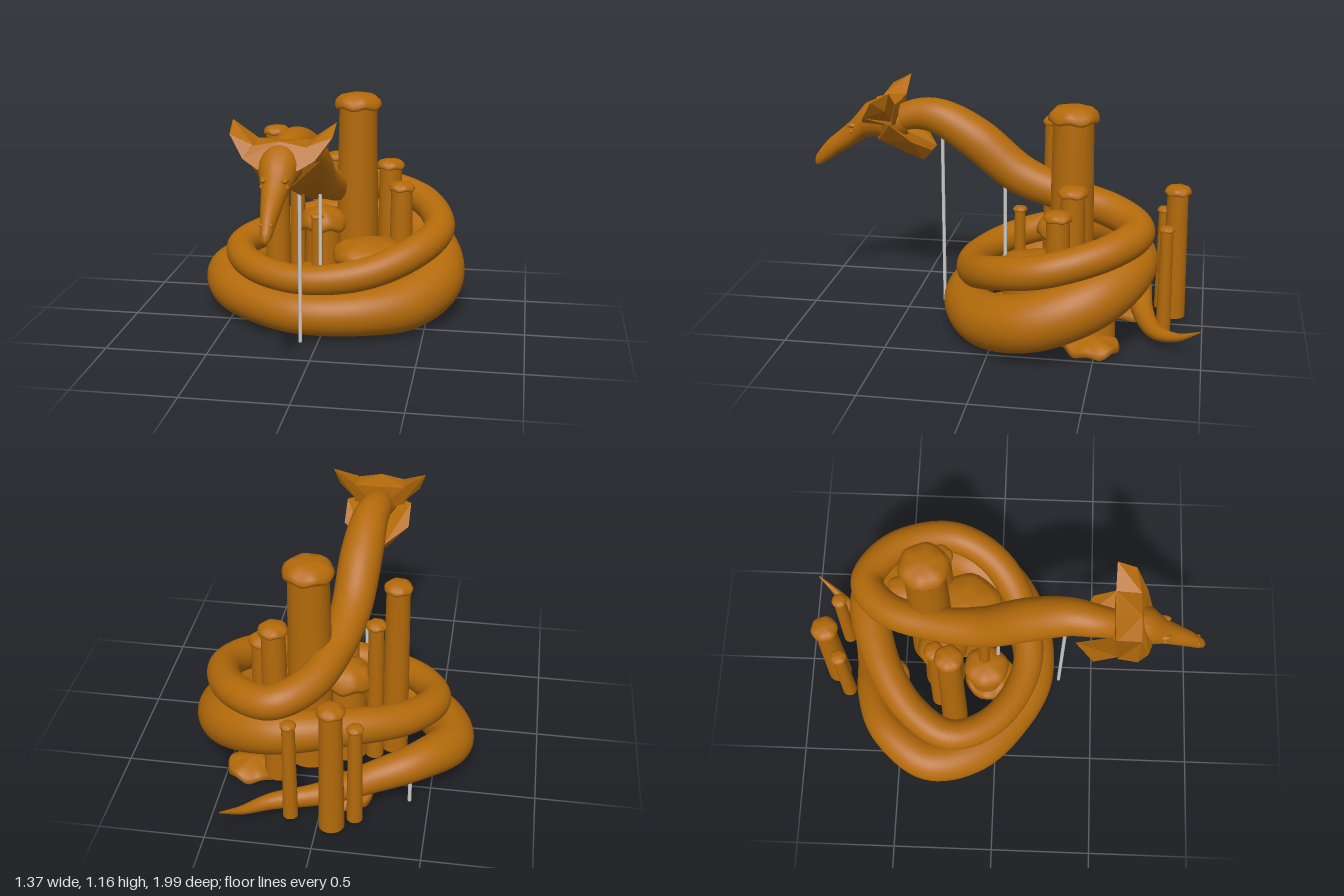
import * as THREE from 'three';
import { toCreasedNormals } from 'three/addons/utils/BufferGeometryUtils.js';
import { ConvexGeometry } from 'three/addons/geometries/ConvexGeometry.js';

const bronze = new THREE.MeshStandardMaterial({ color: 0xb36a0a, side: THREE.DoubleSide });
const grey = new THREE.MeshStandardMaterial({ color: 0xcccccc });
const V = (x, y, z) => new THREE.Vector3(x, y, z);

function mesh(name, geometry, material = bronze) {
  const m = new THREE.Mesh(geometry, material);
  m.name = name;
  return m;
}

// Skin over a list of closed rings of points
function loft(rings, crease) {
  const n = rings[0].length, index = [];
  for (let i = 0; i < rings.length - 1; i++) {
    for (let j = 0; j < n; j++) {
      const k = (j + 1) % n, a = i * n + j, b = (i + 1) * n + j, c = i * n + k, d = (i + 1) * n + k;
      index.push(a, c, b, c, d, b);
    }
  }
  const g = new THREE.BufferGeometry().setFromPoints(rings.flat());
  g.setIndex(index);
  return toCreasedNormals(g, crease);
}

// Coiled body from tail tip to neck: x, y, z, radius
const path = [
  [0.42, 0.16, -0.99, 0.003], [0.34, 0.09, -0.88, 0.022], [0.22, 0.065, -0.77, 0.04],
  [0.0, 0.08, -0.7, 0.055], [-0.24, 0.17, -0.65, 0.075], [-0.44, 0.21, -0.55, 0.09],
  [-0.575, 0.175, -0.34, 0.108], [-0.51, 0.145, -0.11, 0.115], [-0.33, 0.13, 0.075, 0.105],
  [-0.1, 0.125, 0.185, 0.105], [0.18, 0.13, 0.155, 0.115], [0.41, 0.145, 0.01, 0.135],
  [0.54, 0.21, -0.23, 0.14], [0.47, 0.315, -0.5, 0.135], [0.22, 0.4, -0.665, 0.11],
  [-0.1, 0.41, -0.6, 0.09], [-0.36, 0.37, -0.44, 0.082], [-0.485, 0.335, -0.22, 0.077],
  [-0.37, 0.3, 0.01, 0.075], [-0.1, 0.285, 0.15, 0.075], [0.2, 0.32, 0.12, 0.08],
  [0.44, 0.4, -0.03, 0.082], [0.545, 0.465, -0.27, 0.08], [0.45, 0.53, -0.54, 0.08],
  [0.24, 0.57, -0.675, 0.083], [0.07, 0.61, -0.55, 0.085], [-0.015, 0.66, -0.3, 0.088],
  [-0.05, 0.74, -0.07, 0.1], [-0.065, 0.9, 0.14, 0.105], [-0.08, 1.0, 0.32, 0.092],
  [-0.1, 1.01, 0.46, 0.078], [-0.1, 0.96, 0.6, 0.06],
];

function bodyGeometry() {
  const curve = new THREE.CatmullRomCurve3(path.map(p => V(p[0], p[1], p[2])), false, 'catmullrom');
  const radii = new THREE.CatmullRomCurve3(path.map(p => V(p[3], 0, 0)), false, 'catmullrom');
  const rings = [], steps = 300, arc = 26, belly = 4, low = -1.0;
  for (let i = 0; i <= steps; i++) {
    const t = i / steps, c = curve.getPoint(t), T = curve.getTangent(t), r = radii.getPoint(t).x;
    const side = V(0, 1, 0).cross(T).normalize(), up = T.clone().cross(side);
    const at = (x, y) => c.clone().addScaledVector(side, x * r).addScaledVector(up, y * r);
    const ring = [];
    // round back, then a slightly hollow belly
    for (let j = 0; j <= arc; j++) {
      const a = low + (Math.PI - 2 * low) * j / arc;
      ring.push(at(Math.cos(a), Math.sin(a)));
    }
    for (let j = 1; j < belly; j++) {
      const s = j / belly;
      ring.push(at(Math.cos(low) * (2 * s - 1), Math.sin(low) + 0.06 * Math.sin(Math.PI * s)));
    }
    rings.push(ring);
  }
  return loft(rings, 0.6);
}

// Lathe whose rim ripples up and down towards its edge
function rippledLathe(points, lobes, ripple, rim) {
  const g = new THREE.LatheGeometry(points.map(p => new THREE.Vector2(p[0], p[1])), 40);
  const p = g.attributes.position;
  for (let i = 0; i < p.count; i++) {
    const x = p.getX(i), z = p.getZ(i), a = Math.atan2(z, x), w = Math.min(1, Math.hypot(x, z) / rim) ** 4;
    const k = 1 + 0.015 * w * Math.sin(lobes * a);
    p.setXYZ(i, x * k, p.getY(i) + ripple * w * Math.sin(lobes * a + 1), z * k);
  }
  g.computeVertexNormals();
  return g;
}

// Tapered stalk with a wavy domed cap
function mushroom(x, z, top, r, capR, h = capR * 0.6) {
  const g = new THREE.Group();
  g.name = 'mushroomColumn';
  const stalkH = top - h * 0.6 - 0.03;
  const stalk = mesh('stalk', new THREE.CylinderGeometry(r * 0.88, r * 1.05, stalkH, 32));
  stalk.position.y = 0.03 + stalkH / 2;
  const cap = mesh('cap', rippledLathe([[r * 0.8, -h], [capR * 0.96, -h], [capR, -h * 0.8],
    [capR * 0.93, -h * 0.5], [capR * 0.75, -h * 0.2], [capR * 0.4, -h * 0.04], [0.0001, 0]], 6, h * 0.1, capR));
  cap.position.y = top;
  g.add(stalk, cap);
  g.position.set(x, 0, z);
  return g;
}

function head() {
  const g = new THREE.Group();
  g.name = 'head';
  // skull and snout sections: z, bottom, top, half width
  const rows = [[0.5, 0.91, 1.03, 0.05], [0.58, 0.88, 1.06, 0.095], [0.66, 0.89, 1.085, 0.1], [0.72, 0.885, 1.06, 0.085],
    [0.77, 0.85, 1.0, 0.065], [0.8, 0.83, 0.965, 0.056], [0.87, 0.79, 0.905, 0.045], [0.92, 0.755, 0.865, 0.036],
    [0.96, 0.73, 0.82, 0.028], [0.99, 0.722, 0.78, 0.018], [1.0, 0.735, 0.75, 0.003]];
  g.add(mesh('skull', loft(rows.map(([z, y0, y1, w]) => Array.from({ length: 16 }, (_, j) => {
    const a = j * Math.PI / 8;
    return V(w * Math.cos(a), (y0 + y1) / 2 + (y1 - y0) / 2 * Math.sin(a), z);
  })), 0.7)));
  for (const s of [-1, 1]) {
    const hull = pts => new ConvexGeometry(pts.map(p => V(s * p[0], p[1], p[2])));
    // crest joins the brow, then sweeps up into the horn
    g.add(mesh('crest', hull([[0, 1.095, 0.66], [0, 0.98, 0.72], [0, 1.08, 0.54], [0, 0.96, 0.54],
      [0.13, 1.085, 0.54], [0.13, 1.07, 0.66], [0.16, 1.02, 0.695], [0.13, 0.98, 0.56], [0.09, 0.98, 0.72]])));
    g.add(mesh('horn', hull([[0.12, 1.085, 0.54], [0.12, 1.075, 0.66], [0.16, 1.02, 0.695], [0.12, 0.99, 0.56],
      [0.235, 1.165, 0.54], [0.23, 1.115, 0.635], [0.205, 1.07, 0.57]])));
    g.add(mesh('cheekFrill', hull([[0.04, 0.98, 0.68], [0.165, 0.99, 0.56], [0.165, 0.91, 0.45],
      [0.13, 0.88, 0.46], [0.05, 0.84, 0.37], [0.05, 0.79, 0.42], [0.04, 0.88, 0.65]])));
    const brow = mesh('brow', new THREE.SphereGeometry(0.02, 14, 10));
    brow.scale.set(0.8, 0.7, 1.8);
    brow.position.set(s * 0.047, 0.95, 0.775);
    const eye = mesh('eye', new THREE.SphereGeometry(0.01, 14, 10));
    eye.position.set(s * 0.056, 0.92, 0.785);
    const nostril = mesh('nostril', new THREE.SphereGeometry(0.009, 12, 8));
    nostril.position.set(s * 0.02, 0.8, 0.96);
    g.add(brow, eye, nostril);
  }
  g.position.x = -0.1;
  return g;
}

export function createModel() {
  const model = new THREE.Group();
  model.name = 'coiledSerpent';
  model.add(mesh('body', bodyGeometry()), head());

  // Columns and stumps: x, z, top, stalk radius, cap radius, cap height
  const columns = [
    [0.11, -0.35, 1.14, 0.11, 0.122], [0.28, -0.37, 0.795, 0.065, 0.073], [0.345, -0.31, 0.69, 0.062, 0.068],
    [0.24, -0.51, 0.5, 0.07, 0.08], [-0.29, -0.22, 0.985, 0.064, 0.068], [-0.2, -0.3, 0.81, 0.042, 0.05],
    [-0.06, -0.07, 0.57, 0.03, 0.036], [-0.07, -0.85, 0.715, 0.058, 0.066], [-0.17, -0.79, 0.57, 0.036, 0.04],
    [0.13, -0.81, 0.57, 0.034, 0.038], [0.2, -0.18, 0.41, 0.16, 0.195, 0.1], [-0.06, -0.28, 0.55, 0.1, 0.125, 0.11],
    [-0.09, -0.06, 0.3, 0.08, 0.115],
  ];
  for (const c of columns) model.add(mushroom(...c));

  // Low wavy caps lying on the ground
  for (const [x, z] of [[0.37, -0.48], [-0.1, -0.61], [-0.07, -0.04]]) {
    const cap = mesh('groundCap', rippledLathe([[0.06, 0.015], [0.11, 0.012], [0.135, 0.025],
      [0.125, 0.05], [0.08, 0.07], [0.0001, 0.085]], 6, 0.012, 0.135));
    cap.position.set(x, 0, z);
    model.add(cap);
  }

  // Thin support rods: x, z, bottom, top
  for (const [x, z, y0, y1] of [[-0.075, 0.325, 0.03, 0.94], [-0.03, 0, 0.03, 0.72], [-0.41, -0.63, 0.03, 0.17]]) {
    const rod = mesh('supportRod', new THREE.CylinderGeometry(0.009, 0.009, y1 - y0, 12), grey);
    rod.position.set(x, (y0 + y1) / 2, z);
    model.add(rod);
  }
  return model;
}
